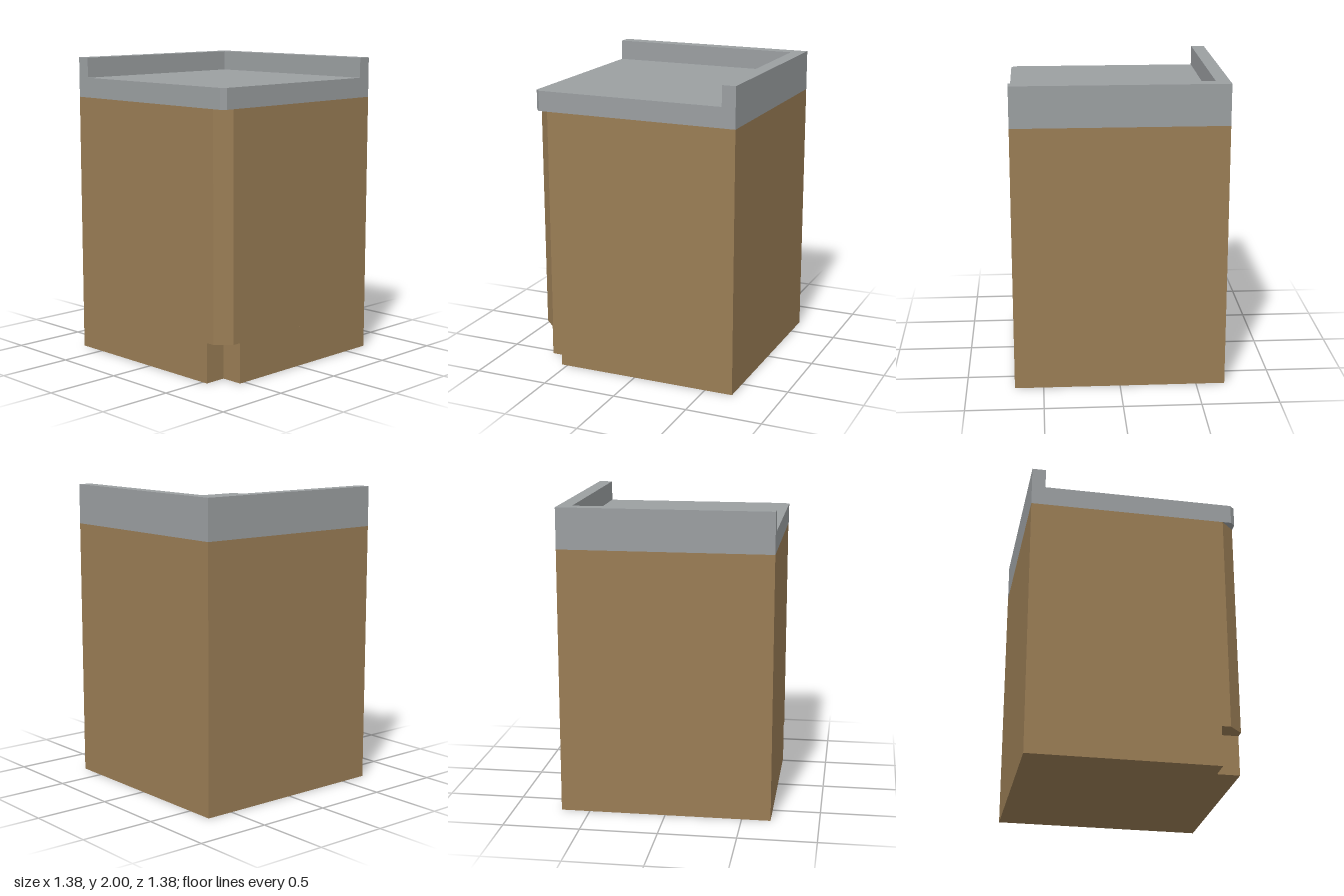
import * as THREE from 'three';

const H = 0.6875;          // half width of the square footprint
const KICK_TOP = 0.263;    // height of the toe recess
const BODY_TOP = 1.735;    // underside of the worktop
const SLAB_TOP = 1.867;    // work surface
const SPLASH = 0.09;       // thickness of the raised rim

// Extrudes a floor plan given as [x, z] points from height y0 to y1
function prism(name, plan, y0, y1, material) {
  const shape = new THREE.Shape(plan.map(([x, z]) => new THREE.Vector2(x, -z)));
  const geometry = new THREE.ExtrudeGeometry(shape, { depth: y1 - y0, bevelEnabled: false });
  geometry.rotateX(-Math.PI / 2);
  geometry.translate(0, y0, 0);
  const mesh = new THREE.Mesh(geometry, material);
  mesh.name = name;
  return mesh;
}

// Square plan with its front right corner replaced by the given points
const squarePlan = (...corner) => [[H, H], [H, -H], [-H, -H], ...corner];

// Square plan with the front right corner cut off diagonally
const chamferedPlan = (cut) => squarePlan([-H, H - cut], [-H + cut, H]);

export function createModel() {
  const wood = new THREE.MeshStandardMaterial({ color: 0x9a7d55 });
  wood.name = 'wood';
  const stone = new THREE.MeshStandardMaterial({ color: 0x9b9fa1 });
  stone.name = 'greyStone';

  const model = new THREE.Group();
  model.name = 'cornerCabinet';

  // Base with a square toe recess at the inner corner
  const n = H - 0.148;
  model.add(prism('cabinetBase', squarePlan([-H, n], [-n, n], [-n, H]), 0, KICK_TOP, wood));

  // Cabinet body with a narrow diagonal face
  model.add(prism('cabinetBody', chamferedPlan(0.088), KICK_TOP, BODY_TOP, wood));

  // Worktop slab
  model.add(prism('worktop', chamferedPlan(0.03), BODY_TOP, SLAB_TOP, stone));

  // L-shaped splash rim along the back and left sides
  const s = H - SPLASH;
  model.add(prism('backsplash',
    [[H, H], [H, -H], [-H, -H], [-H, -s], [s, -s], [s, H]], SLAB_TOP, 2, stone));

  return model;
}
